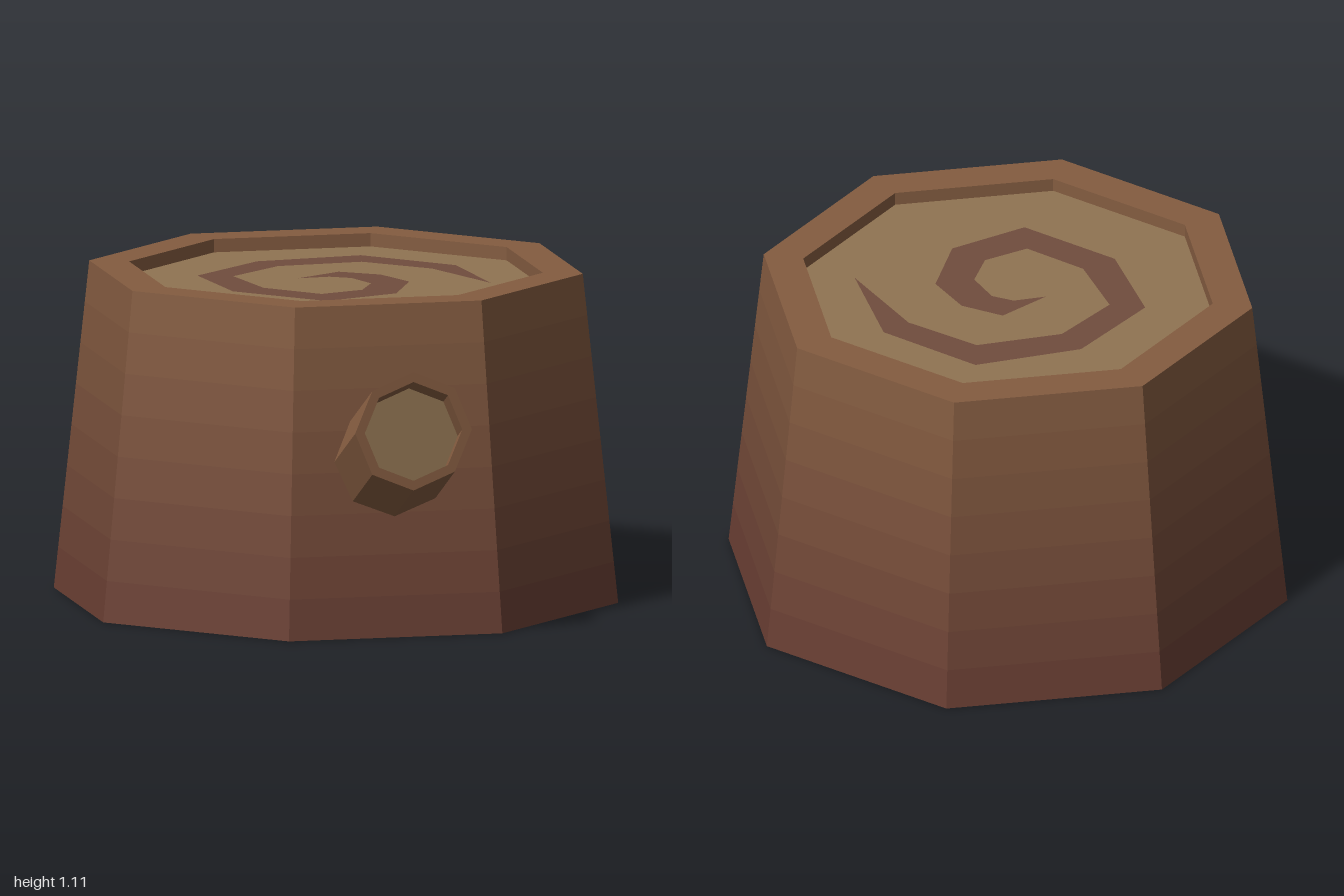
import * as THREE from 'three';

const SIDES = 8;
const HEIGHT = 1.11, BOTTOM_R = 0.955, TOP_R = 0.835, RIM_R = 0.7, FLOOR_Y = 1.065;
const BARK = 0x845c40, BARK_LOW = 0x673c32, WOOD = 0x907452, RING = 0x704d3e;

function mesh(name, geometry, color) {
  const material = new THREE.MeshStandardMaterial({ color, flatShading: true });
  const m = new THREE.Mesh(geometry, material);
  m.name = name;
  return m;
}

// Eight-sided solid of revolution from [radius, height] pairs
function turned(profile) {
  return new THREE.LatheGeometry(profile.map(([r, y]) => new THREE.Vector2(r, y)), SIDES);
}

// Tapered bark, stacked in bands that fade from brown to reddish at the foot
function createBark() {
  const bark = new THREE.Group();
  bark.name = 'bark';
  const bands = 8;
  const ring = (t) => [THREE.MathUtils.lerp(BOTTOM_R, TOP_R, t), HEIGHT * t];
  for (let i = 0; i < bands; i++) {
    const color = new THREE.Color(BARK_LOW).lerp(new THREE.Color(BARK), (i + 0.5) / bands);
    bark.add(mesh('barkBand', turned([ring(i / bands), ring((i + 1) / bands)]), color));
  }
  return bark;
}

// Flat growth spiral on the cut face, [x, z] pairs: outer edge, then back along the inner edge
function createSpiral() {
  const outline = [
    [-0.09, -0.14], [0.1, -0.17], [0.18, -0.04], [0.175, 0.13], [0, 0.3], [-0.28, 0.29],
    [-0.42, -0.05], [-0.33, -0.38], [0, -0.5], [0.355, -0.4], [0.495, -0.05], [0.38, 0.31],
    [0.39, -0.04], [0.28, -0.29], [0, -0.38], [-0.24, -0.3], [-0.295, -0.05], [-0.21, 0.165],
    [-0.05, 0.175], [0.05, 0.085], [0.06, -0.04], [0.015, -0.105],
  ];
  const shape = new THREE.Shape(outline.map(([x, z]) => new THREE.Vector2(x, -z)));
  const spiral = mesh('growthSpiral', new THREE.ShapeGeometry(shape).rotateX(-Math.PI / 2), RING);
  spiral.position.y = FLOOR_Y + 0.003;
  return spiral;
}

// Cut branch: upright end face, body slanting down into the trunk
function createBranch() {
  const branch = new THREE.Group();
  branch.name = 'branch';
  const a = Math.PI / 8;
  const slant = new THREE.Matrix4().makeBasis(
    new THREE.Vector3(Math.cos(a), 0, Math.sin(a)),
    new THREE.Vector3(-0.29, 0.64, 1),
    new THREE.Vector3(0, -1, 0),
  ).setPosition(-0.37, 0.72, 0.917);
  const body = turned([[0, -0.34], [0.2, -0.34], [0.2, 0], [0.167, 0], [0.167, -0.045]]);
  const end = turned([[0.167, -0.045], [0, -0.045]]);
  branch.add(mesh('branchBark', body.applyMatrix4(slant), BARK));
  branch.add(mesh('branchEnd', end.applyMatrix4(slant), WOOD));
  return branch;
}

export function createModel() {
  const model = new THREE.Group();
  model.name = 'treeStump';

  const trunk = new THREE.Group();
  trunk.name = 'trunk';
  trunk.position.z = -0.046;
  trunk.add(createBark());
  trunk.add(mesh('base', turned([[0, 0], [BOTTOM_R, 0]]), BARK_LOW));
  trunk.add(mesh('rim', turned([[TOP_R, HEIGHT], [RIM_R, HEIGHT], [RIM_R, FLOOR_Y]]), BARK));
  trunk.add(mesh('cutFace', turned([[RIM_R, FLOOR_Y], [0, FLOOR_Y]]), WOOD));

  model.add(trunk);
  const spiral = createSpiral();
  model.add(spiral, createBranch());
  return model;
}
